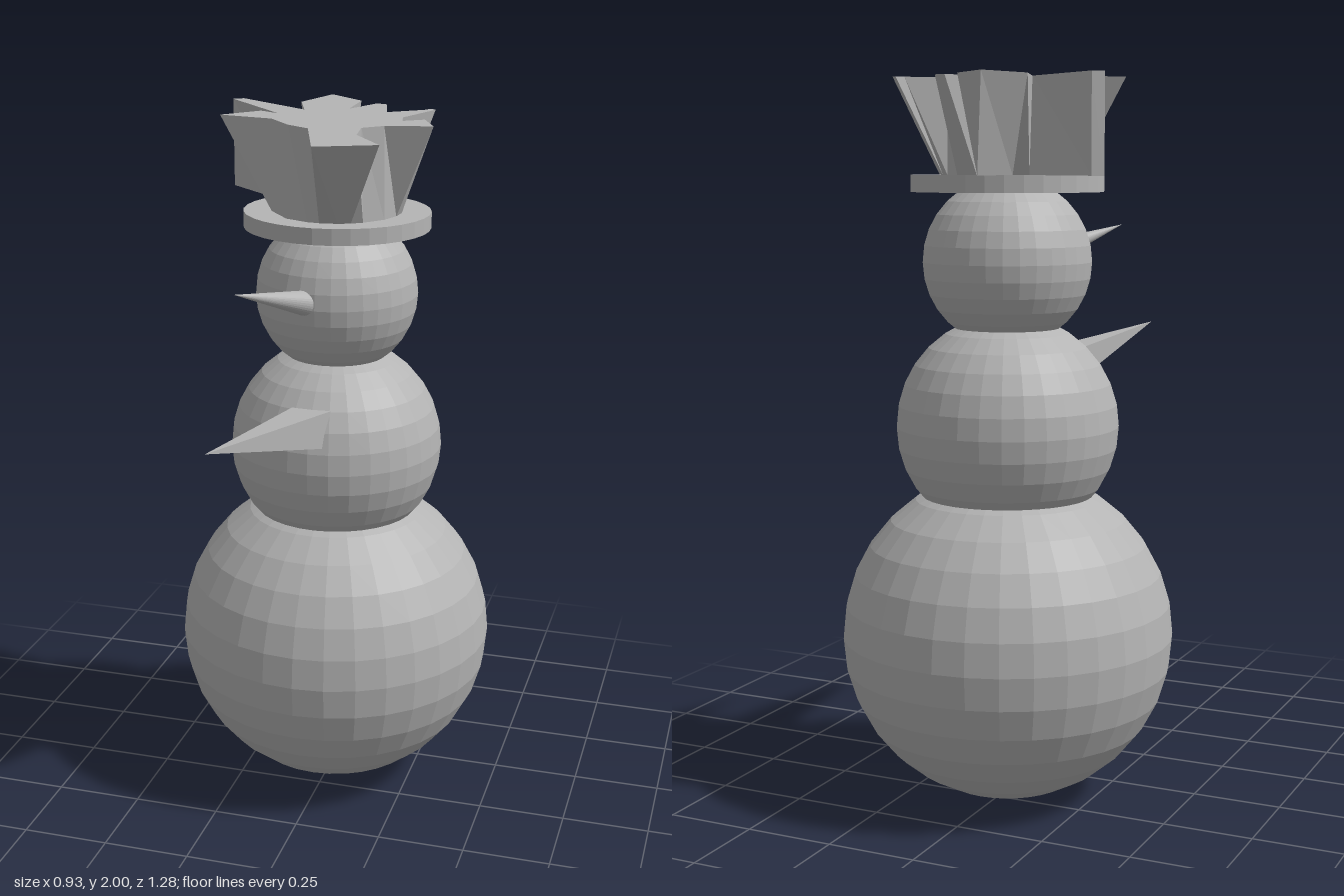
import * as THREE from 'three';

const CZ = -0.178; // depth of the body axis

// Crown outline, clockwise from above: top x, top z, then the angle of the foot
// on the base circle (degrees from +z), or an explicit foot position.
const CROWN = [
  [-0.136, -0.61, [-0.07, -0.5]], [-0.02, -0.51, 187], [-0.014, -0.35, 180],
  [0.037, -0.47, 170], [0.07, -0.46, 160], [0.105, -0.32, 146],
  [0.197, -0.39, 137], [0.21, -0.415, 132], [0.227, -0.4, 126],
  [0.17, -0.24, 112], [0.183, -0.18, 101], [0.237, -0.22, 92],
  [0.285, -0.115, 78], [0.156, -0.085, 60], [0.105, -0.037, 38],
  [0.122, 0.075, 27], [0.217, 0.207, 16], [0.058, 0.278, 0],
  [-0.03, 0.01, -11], [-0.1, -0.034, -34], [-0.173, -0.12, -68],
  [-0.332, -0.146, -79], [-0.244, -0.247, -101], [-0.183, -0.214, -113],
  [-0.393, -0.44, [-0.393, -0.44]], [-0.366, -0.46, [-0.366, -0.46]],
  [-0.132, -0.3, -136], [-0.183, -0.44, -150],
];

// Flat geometry from a list of triangles
function fromTriangles(tris) {
  const g = new THREE.BufferGeometry().setFromPoints(tris.flat());
  g.computeVertexNormals();
  return g;
}

// Jagged crown: ruled walls between a round foot and a star-shaped top
function crownGeometry(y0, y1, r) {
  const top = CROWN.map(([x, z]) => new THREE.Vector3(x, y1, z));
  const foot = CROWN.map(([, , f]) => {
    if (Array.isArray(f)) return new THREE.Vector3(f[0], y0, f[1]);
    const a = THREE.MathUtils.degToRad(f);
    return new THREE.Vector3(r * Math.sin(a), y0, CZ + r * Math.cos(a));
  });
  const tris = [];
  for (let i = 0; i < top.length; i++) {
    const j = (i + 1) % top.length;
    tris.push([foot[i], top[i], top[j]], [foot[i], top[j], foot[j]]);
  }
  // caps, each triangle turned to face up or down
  for (const [ring, up] of [[top, 1], [foot, -1]]) {
    const flat = ring.map((p) => new THREE.Vector2(p.x, p.z));
    for (const [a, b, c] of THREE.ShapeUtils.triangulateShape(flat, [])) {
      const [p, q, s] = [ring[a], ring[b], ring[c]];
      const ny = (q.z - p.z) * (s.x - p.x) - (q.x - p.x) * (s.z - p.z);
      tris.push(ny * up > 0 ? [p, q, s] : [p, s, q]);
    }
  }
  return fromTriangles(tris);
}

// Four-sided spike from a base ring (counterclockwise from the front) to a tip
function spikeGeometry(base, z, tip) {
  const ring = base.map(([x, y]) => new THREE.Vector3(x, y, z));
  const end = new THREE.Vector3(...tip);
  const tris = ring.map((p, i) => [p, ring[(i + 1) % ring.length], end]);
  tris.push([ring[0], ring[2], ring[1]], [ring[0], ring[3], ring[2]]);
  return fromTriangles(tris);
}

export function createModel() {
  const group = new THREE.Group();
  const grey = new THREE.MeshStandardMaterial({ color: 0xb4b4b4, flatShading: true });
  grey.name = 'plain grey';

  const add = (name, geometry, x = 0, y = 0, z = 0) => {
    const mesh = new THREE.Mesh(geometry, grey);
    mesh.name = name;
    mesh.position.set(x, y, z);
    group.add(mesh);
    return mesh;
  };

  // three stacked balls
  for (const [name, r, y] of [
    ['lowerBall', 0.463, 0.468], ['middleBall', 0.308, 1.058], ['head', 0.232, 1.51],
  ]) add(name, new THREE.SphereGeometry(r, 32, 16), 0, y, CZ);

  // hat
  add('hatBrim', new THREE.CylinderGeometry(0.266, 0.266, 0.046, 32), 0, 1.722, CZ)
    .scale.z = 0.94;
  add('hatCrown', crownGeometry(1.744, 2, 0.184));

  // nose: a thin cone aimed outwards
  const root = new THREE.Vector3(-0.03, 1.525, 0.03);
  const tip = new THREE.Vector3(-0.158, 1.6, 0.27);
  const axis = tip.clone().sub(root);
  const mid = root.clone().add(tip).multiplyScalar(0.5);
  add('nose', new THREE.ConeGeometry(0.036, axis.length(), 32), mid.x, mid.y, mid.z)
    .quaternion.setFromUnitVectors(new THREE.Vector3(0, 1, 0), axis.normalize());

  // long spike on the chest
  add('chestSpike', spikeGeometry(
    [[-0.06, 1.12], [0.056, 1.12], [0.056, 1.232], [-0.06, 1.232]], 0.06, [-0.115, 1.285, 0.635]));

  return group;
}
